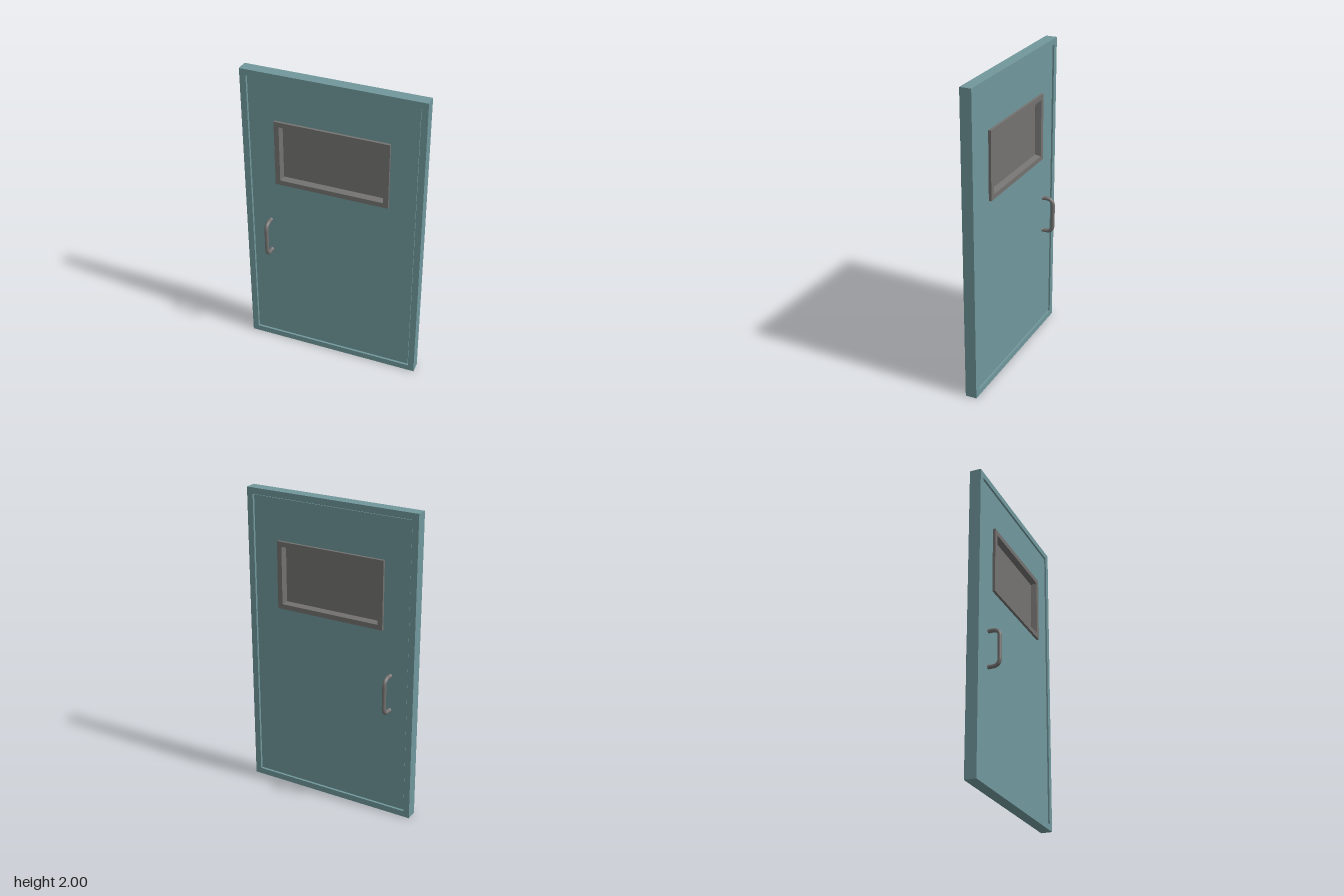
import * as THREE from 'three';

// Rectangular ring: a closed profile of [inset, z] points carried round four corners
function ringGeometry(halfW, halfH, profile) {
  const corners = [[-1, -1], [1, -1], [1, 1], [-1, 1]];
  const point = (c, [inset, z]) => [c[0] * (halfW - inset), c[1] * (halfH - inset), z];
  const pos = [];
  corners.forEach((c, i) => {
    const d = corners[(i + 1) % 4];
    profile.forEach((p, j) => {
      const q = profile[(j + 1) % profile.length];
      const a = point(c, p), b = point(d, p), e = point(d, q), f = point(c, q);
      pos.push(...a, ...b, ...e, ...a, ...e, ...f);
    });
  });
  const geo = new THREE.BufferGeometry();
  geo.setAttribute('position', new THREE.Float32BufferAttribute(pos, 3));
  geo.computeVertexNormals();
  return geo;
}

function rectPoints(x, y0, y1) {
  return [[-x, y0], [x, y0], [x, y1], [-x, y1]].map(p => new THREE.Vector2(...p));
}

// Flat panel with a window opening, centred on z = 0
function panelGeometry(x, y0, y1, depth) {
  const shape = new THREE.Shape(rectPoints(x, y0, y1));
  shape.holes.push(new THREE.Path(rectPoints(0.35, 1.265, 1.675)));
  const geo = new THREE.ExtrudeGeometry(shape, { depth, bevelEnabled: false });
  geo.translate(0, 0, -depth / 2);
  return geo;
}

export function createModel() {
  const group = new THREE.Group();
  const paint = new THREE.MeshStandardMaterial({ color: 0x70979b });
  paint.name = 'tealPaint';
  const metal = new THREE.MeshStandardMaterial({ color: 0x737271 });
  metal.name = 'greyMetal';

  const add = (name, geo, mat, parent = group) => {
    const mesh = new THREE.Mesh(geo, mat);
    mesh.name = name;
    parent.add(mesh);
    return mesh;
  };

  // Outer frame
  const T = 0.037;
  add('doorFrame', ringGeometry(0.582, 1,
    [[0, T], [0.04, T], [0.04, -T], [0, -T]]), paint).position.y = 1;

  // Leaf set back in the frame, with a core that closes the narrow gap
  add('doorLeaf', panelGeometry(0.537, 0.045, 1.955, 0.056), paint);
  add('doorCore', panelGeometry(0.543, 0.039, 1.961, 0.03), paint);

  // Window trim with reveals that slope in to the pane
  const Z = 0.045, G = 0.008;
  add('windowTrim', ringGeometry(0.368, 0.22,
    [[0, Z], [0.032, Z], [0.042, G], [0.042, -G], [0.032, -Z], [0, -Z]]),
    metal).position.y = 1.47;
  const pane = add('windowPane', new THREE.BoxGeometry(0.66, 0.364, 0.015), metal);
  pane.position.y = 1.47;

  // Pull handle on each side
  const bar = new THREE.CurvePath();
  const v = (y, z) => new THREE.Vector3(0, y, z);
  const lo = 0.725, hi = 0.957, base = 0.026, out = 0.1, r = 0.045;
  bar.add(new THREE.LineCurve3(v(lo, base), v(lo, out - r)));
  bar.add(new THREE.QuadraticBezierCurve3(v(lo, out - r), v(lo, out), v(lo + r, out)));
  bar.add(new THREE.LineCurve3(v(lo + r, out), v(hi - r, out)));
  bar.add(new THREE.QuadraticBezierCurve3(v(hi - r, out), v(hi, out), v(hi, out - r)));
  bar.add(new THREE.LineCurve3(v(hi, out - r), v(hi, base)));
  const barGeo = new THREE.TubeGeometry(bar, 60, 0.013, 14);
  const footGeo = new THREE.CylinderGeometry(0.013, 0.016, 0.008, 16).rotateX(Math.PI / 2);

  for (const side of ['front', 'back']) {
    const handle = new THREE.Group();
    handle.name = side + 'Handle';
    add('handleBar', barGeo, metal, handle);
    for (const y of [lo, hi]) add('handleFoot', footGeo, metal, handle).position.set(0, y, 0.031);
    handle.position.x = -0.419;
    if (side === 'back') handle.rotation.y = Math.PI;
    group.add(handle);
  }
  return group;
}
